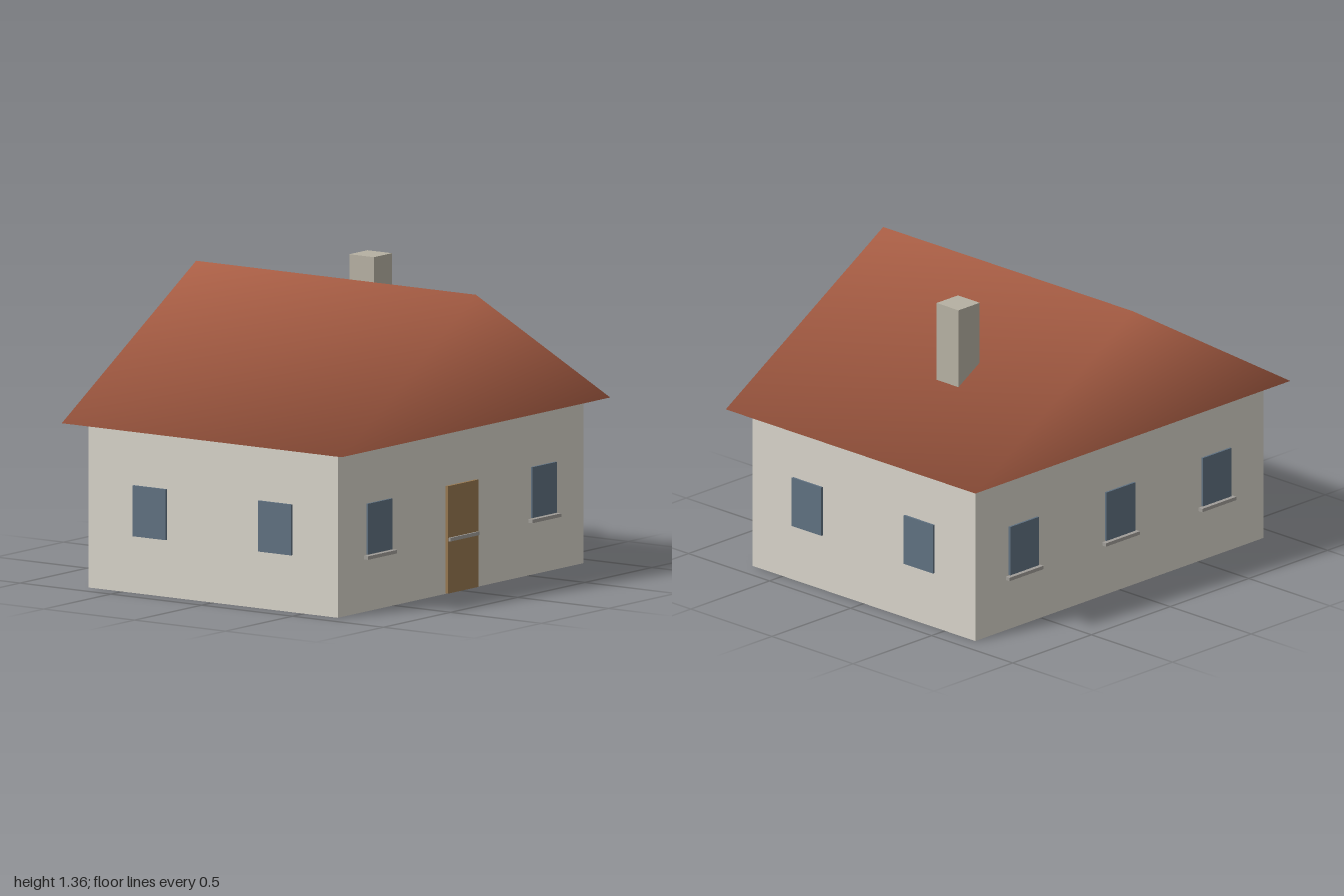
import * as THREE from 'three';

const mat = (color, side = THREE.FrontSide) => new THREE.MeshStandardMaterial({ color, side });

export function createModel() {
  const house = new THREE.Group();
  house.name = 'house';

  const wall = mat(0xd6d2c8), tile = mat(0xb5654a, THREE.DoubleSide), glass = mat(0x5f7080);
  const wood = mat(0x96774f), stone = mat(0xa09d98), chimneyStone = mat(0xb5b0a2);

  // Box given by its centre and size
  function box(name, material, [x, y, z], [w, h, d]) {
    const mesh = new THREE.Mesh(new THREE.BoxGeometry(w, h, d), material);
    mesh.name = name;
    mesh.position.set(x, y, z);
    house.add(mesh);
  }

  const W = 0.915, D = 0.687, EAVE = 0.74;
  box('walls', wall, [0, EAVE / 2, 0], [2 * W, EAVE, 2 * D]);

  // Roof: triangular prism, softly shaded across its shared corners
  const positions = [], normals = [];
  for (const s of [1, -1]) {
    positions.push(-1, EAVE, 0.77 * s, 1, EAVE, 0.77 * s, 0, 1.335, 0.77 * s);
    normals.push(-0.81, -0.223, 0.542 * s, 0.81, -0.223, 0.542 * s, 0, 0.794, 0.608 * s);
  }
  const roofGeo = new THREE.BufferGeometry();
  roofGeo.setAttribute('position', new THREE.Float32BufferAttribute(positions, 3));
  roofGeo.setAttribute('normal', new THREE.Float32BufferAttribute(normals, 3));
  roofGeo.setIndex([
    0, 1, 2, 4, 3, 5,       // gables
    1, 4, 5, 1, 5, 2,       // +x slope
    3, 0, 2, 3, 2, 5,       // -x slope
    0, 3, 4, 0, 4, 1,       // underside
  ]);
  const roof = new THREE.Mesh(roofGeo, tile);
  roof.name = 'roof';
  house.add(roof);

  box('chimney', chimneyStone, [0.505, 1.079, -0.183], [0.135, 0.556, 0.135]);

  // Door in the middle of the front
  box('door', wood, [0, 0.243, D], [0.225, 0.482, 0.026]);

  // Front and back windows with sills; the door takes the middle front place
  for (const s of [1, -1]) {
    for (const x of [-0.612, 0, 0.612]) {
      if (s < 0 || x !== 0) box('window', glass, [x, 0.37, s * D], [0.182, 0.228, 0.02]);
      box('sill', stone, [x, 0.244, s * D], [0.216, 0.016, 0.044]);
    }
  }

  // Side windows
  for (const s of [1, -1]) {
    for (const z of [-0.345, 0.345]) {
      box('sideWindow', glass, [s * W, 0.37, z], [0.02, 0.228, 0.182]);
    }
  }
  return house;
}
